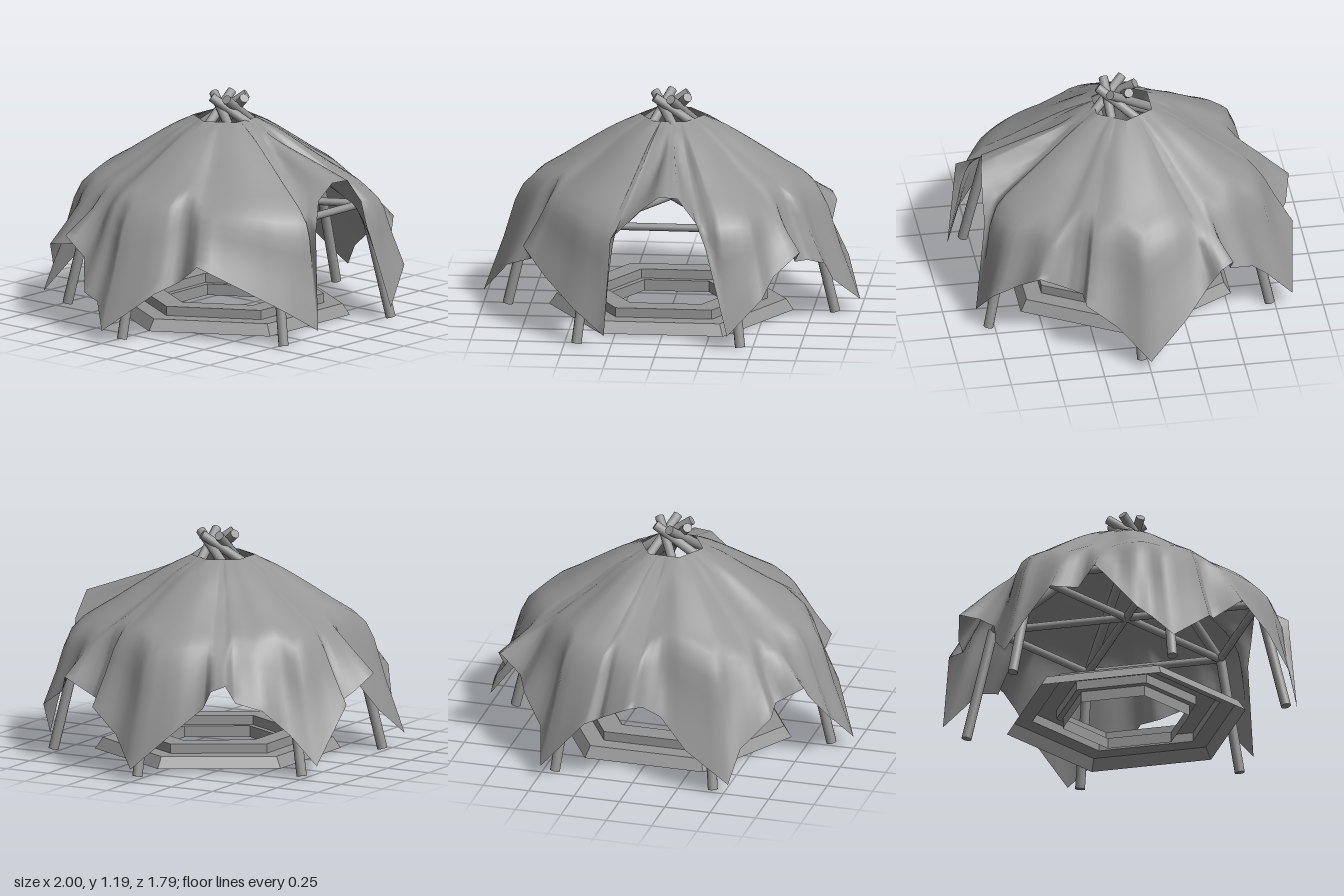
import * as THREE from 'three';

const V = (x, y, z) => new THREE.Vector3(x, y, z);
const CENTRE_Z = 0.03;
const GREY = 0x969696;

// Cloth hem corners (x, y, z), from the doorway round by the left side
const HEM = [
  [0, 0.81, 0.75], [0.1, 0.81, 0.77], [0.2, 0.68, 0.78], [0.25, 0.54, 0.775], [0.37, 0.08, 0.84],
  [0.55, 0.27, 0.78], [0.6, 0.36, 0.64], [0.73, 0.47, 0.55], [0.69, 0.38, 0.41], [0.75, 0.37, 0.33],
  [0.84, 0.35, 0.32], [0.87, 0.22, 0.16], [1, 0.07, 0], [0.92, 0.26, -0.2], [0.82, 0.4, -0.34],
  [0.84, 0.5, -0.4], [0.81, 0.53, -0.47], [0.7, 0.42, -0.47], [0.64, 0.38, -0.6], [0.52, 0.24, -0.7],
  [0.48, 0.08, -0.84], [0.23, 0.37, -0.88], [0.17, 0.38, -0.82], [0.12, 0.42, -0.86], [-0.03, 0.5, -0.9],
  [-0.07, 0.47, -0.8], [-0.15, 0.4, -0.74], [-0.3, 0.24, -0.78], [-0.54, 0.08, -0.8], [-0.58, 0.25, -0.7],
  [-0.72, 0.4, -0.6], [-0.7, 0.42, -0.44], [-0.84, 0.5, -0.39], [-0.83, 0.4, -0.27], [-0.93, 0.24, -0.18],
  [-0.92, 0.2, -0.1], [-1, 0.07, 0], [-0.85, 0.28, 0.24], [-0.72, 0.33, 0.3], [-0.75, 0.44, 0.45],
  [-0.62, 0.33, 0.63], [-0.45, 0.2, 0.8], [-0.28, 0.08, 0.89], [-0.25, 0.6, 0.85], [-0.1, 0.73, 0.74],
];

// Radius of the six-sided smoke hole in the direction of angle a
function holeRadius(a) {
  const sector = Math.PI / 3;
  const offset = THREE.MathUtils.euclideanModulo(a, sector) - sector / 2;
  return (0.17 * Math.cos(sector / 2)) / Math.cos(offset);
}

// One fold line of the cloth, from the smoke hole over the frame to the hem
function foldLine(hem) {
  const { smoothstep } = THREE.MathUtils;
  const R = Math.hypot(hem.x, hem.z);
  const at = (r, y) => V((hem.x * r) / R, y, (hem.z * r) / R);
  // The cloth sags a little between the legs and lifts over the doorway
  const sag = 0.04 * smoothstep(hem.y, 0.2, 0.5);
  const roof = (r) => Math.max(
    1.15 - 0.48 * r - 0.18 * r * r - sag * smoothstep(r, 0.15, 0.45),
    hem.y + (R - r) * 0.36,
  );
  const shoulder = 0.79 + 0.1 * Math.max(0, hem.z / R) ** 2;
  const points = [at(holeRadius(Math.atan2(hem.z, hem.x)), 1.06)];
  for (const k of [0.32, 0.47, 0.63, shoulder]) points.push(at(R * k, roof(R * k)));
  points.push(points[4].clone().lerp(hem, 0.5), hem);
  return new THREE.CatmullRomCurve3(points);
}

function clothGeometry() {
  const rows = 18, split = 3;
  const pos = [], index = [];
  const corners = HEM.map((p) => V(...p));
  const cols = corners.length * split;
  for (let i = 0; i < cols; i++) {
    const a = corners[Math.floor(i / split)];
    const b = corners[(Math.floor(i / split) + 1) % corners.length];
    const line = foldLine(a.clone().lerp(b, (i % split) / split));
    for (let j = 0; j <= rows; j++) pos.push(...line.getPoint(j / rows).toArray());
  }
  const id = (i, j) => (i % cols) * (rows + 1) + j;
  for (let i = 0; i < cols; i++) {
    for (let j = 0; j < rows; j++) {
      const a = id(i, j), b = id(i, j + 1), c = id(i + 1, j), d = id(i + 1, j + 1);
      index.push(a, b, c, c, b, d);
    }
  }
  const geo = new THREE.BufferGeometry();
  geo.setAttribute('position', new THREE.Float32BufferAttribute(pos, 3));
  geo.setIndex(index);
  geo.computeVertexNormals();
  return geo;
}

export function createModel() {
  const model = new THREE.Group();
  model.name = 'tentHut';
  const wood = new THREE.MeshStandardMaterial({ color: GREY });
  const stone = new THREE.MeshStandardMaterial({ color: GREY, flatShading: true, side: THREE.DoubleSide });
  const fabric = new THREE.MeshStandardMaterial({ color: GREY, side: THREE.DoubleSide });

  const add = (name, geo, mat) => {
    const mesh = new THREE.Mesh(geo, mat);
    mesh.name = name;
    model.add(mesh);
    return mesh;
  };
  const pole = (name, from, to, radius) => {
    const dir = to.clone().sub(from);
    const mesh = add(name, new THREE.CylinderGeometry(radius, radius, dir.length(), 12), wood);
    mesh.position.copy(from).add(to).multiplyScalar(0.5);
    mesh.quaternion.setFromUnitVectors(V(0, 1, 0), dir.normalize());
  };

  // Six-sided frame: leaning legs, ring beams and rafters crossing at the top
  const ring = (k, r, y, side = 0) => {
    const a = (k * Math.PI) / 3;
    return V(Math.cos(a) * r - Math.sin(a) * side, y, CENTRE_Z + Math.sin(a) * r + Math.cos(a) * side);
  };
  for (let k = 0; k < 6; k++) {
    pole('leg', ring(k, 0.87, 0.008), ring(k, 0.725, 0.62), 0.027);
    pole('ringBeam', ring(k, 0.72, 0.62), ring(k + 1, 0.72, 0.62), 0.021);
    pole('rafter', ring(k, 0.71, 0.62), ring(k, -0.085, 1.175, 0.055), 0.025);
  }
  // Cross beams joining opposite corners of the ring
  for (let k = 0; k < 3; k++) pole('crossBeam', ring(k, 0.72, 0.62), ring(k + 3, 0.72, 0.62), 0.021);

  // Stepped hexagonal floor ring, an open shell underneath
  const steps = [[0.65, 0.01], [0.61, 0.07], [0.51, 0.07], [0.51, 0.12], [0.38, 0.12], [0.38, 0.07], [0.345, 0.07], [0.345, 0.01]];
  const floor = add('steppedFloorRing', new THREE.LatheGeometry(steps.map((p) => new THREE.Vector2(...p)), 6), stone);
  floor.rotation.y = Math.PI / 6;
  floor.position.z = CENTRE_Z;

  // Draped cover
  add('clothCover', clothGeometry(), fabric);
  return model;
}
